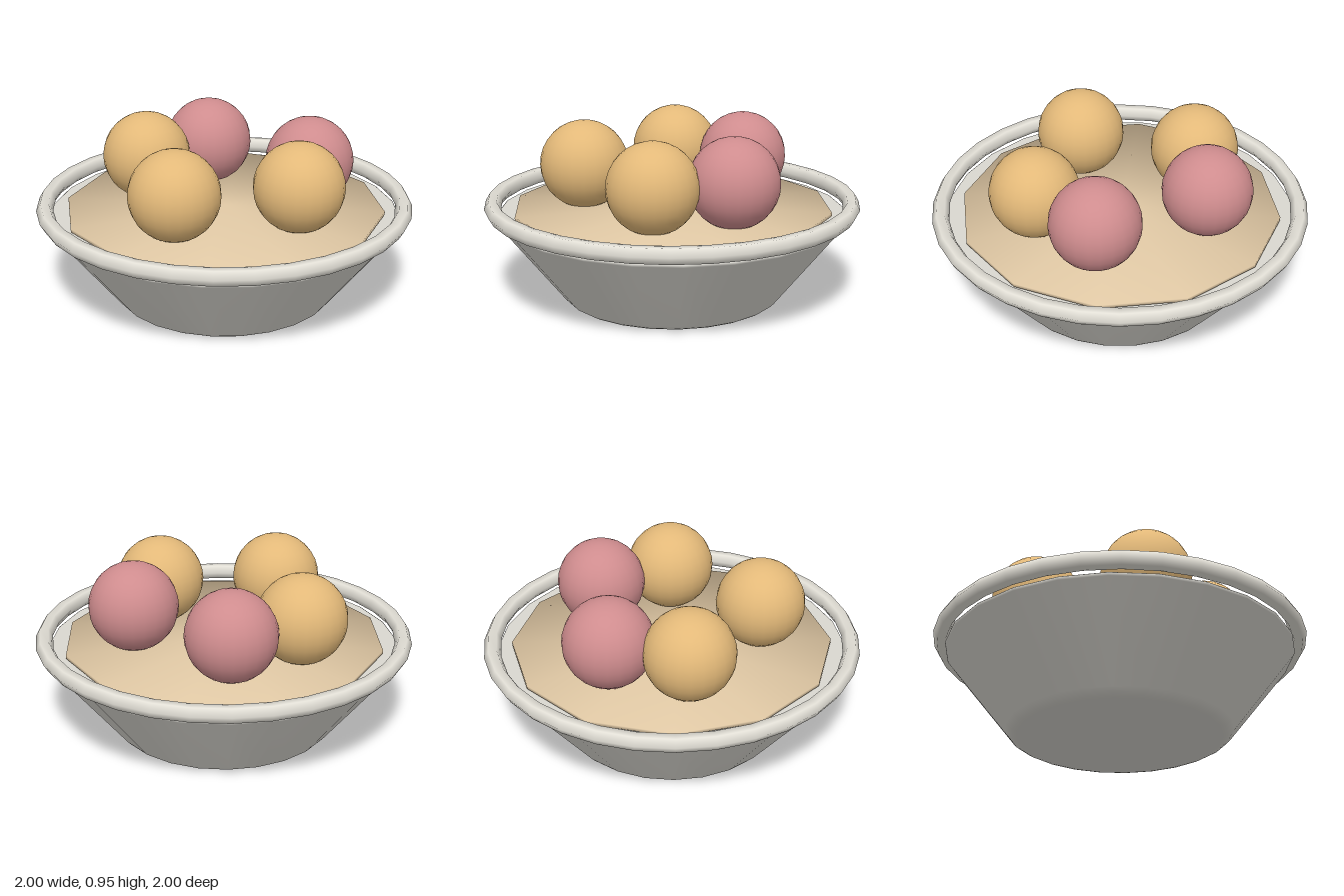
import * as THREE from 'three';

const mat = (name, color) => {
  const m = new THREE.MeshStandardMaterial({ color });
  m.name = name;
  return m;
};

export function createModel() {
  const bowlGrey = mat('bowl grey', 0xd9d7d0);
  const rimGrey = mat('rim grey', 0xe2dfd6);
  const cream = mat('cream', 0xe2caa6);
  const golden = mat('golden', 0xe3b979);
  const pink = mat('pink', 0xcf8c8e);

  const model = new THREE.Group();
  const add = (name, geometry, material, x = 0, y = 0, z = 0) => {
    const mesh = new THREE.Mesh(geometry, material);
    mesh.name = name;
    mesh.position.set(x, y, z);
    model.add(mesh);
    return mesh;
  };

  // Solid flared bowl with softened bottom and top edges
  const profile = [
    [0, 0], [0.54, 0], [0.562, 0.006], [0.583, 0.018], [0.6, 0.037],
    [0.93, 0.456], [0.935, 0.466], [0.932, 0.472], [0.925, 0.477], [0, 0.477],
  ].map(([r, y]) => new THREE.Vector2(r, y));
  add('bowl', new THREE.LatheGeometry(profile, 24), bowlGrey);

  // Ring floating just above the bowl, with a six-sided section
  const rim = new THREE.TorusGeometry(0.955, 0.045, 6, 32).rotateX(Math.PI / 2);
  add('rim', rim, rimGrey, 0, 0.526, 0);

  // Thin twelve-sided disc, level with the rim, with normals rolling over the edge
  const disc = new THREE.CylinderGeometry(0.855, 0.855, 0.018, 12);
  const pos = disc.attributes.position;
  const n = new THREE.Vector3();
  for (let i = 0; i < pos.count; i++) {
    n.set(pos.getX(i), 0, pos.getZ(i));
    if (n.length() > 0.01) n.normalize();
    n.y = 0.67 * Math.sign(pos.getY(i));
    n.normalize();
    disc.attributes.normal.setXYZ(i, n.x, n.y, n.z);
  }
  add('filling', disc, cream, 0, 0.498, 0);

  // Five balls sunk slightly into the filling
  const ball = new THREE.SphereGeometry(0.237, 24, 16);
  [
    [-0.47, 0.08, golden], [0.04, 0.472, golden], [0.475, 0, golden],
    [-0.353, -0.325, pink], [0.29, -0.38, pink],
  ].forEach(([x, z, m], i) => add(`ball${i + 1}`, ball, m, x, 0.716, z));

  return model;
}
